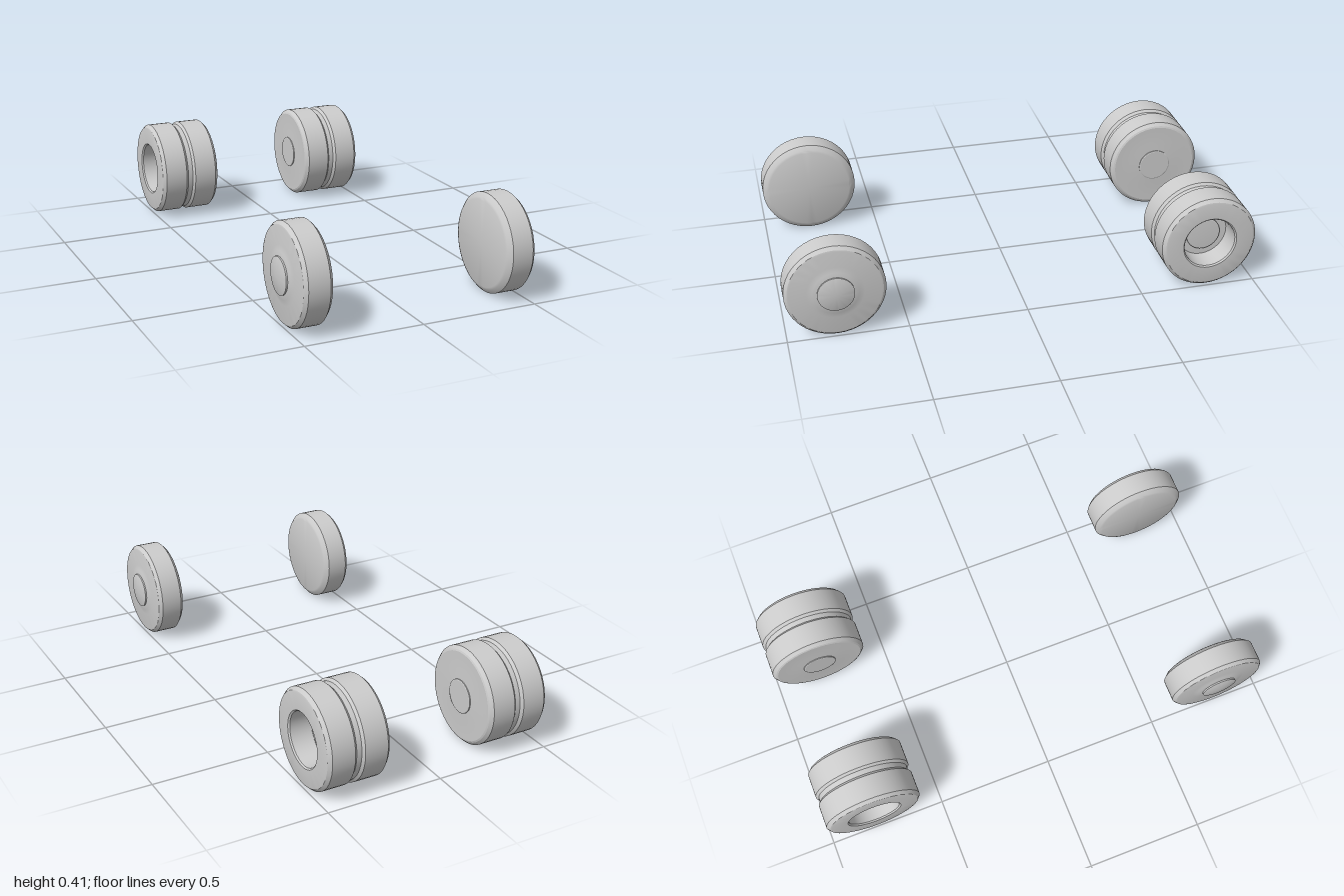
import * as THREE from 'three';
import { toCreasedNormals } from 'three/addons/utils/BufferGeometryUtils.js';

const RADIUS = 0.2075;
const AXLE_Z = 0.7925;

// Turned solid around the x axis; profile is [radius, x], from the inner face to the outer face.
function turned(profile, name, material) {
  const points = profile.map(([r, x]) => new THREE.Vector2(r, x));
  const geometry = new THREE.LatheGeometry(points, 48);
  geometry.rotateZ(-Math.PI / 2);
  const mesh = new THREE.Mesh(toCreasedNormals(geometry, 0.4), material);
  mesh.name = name;
  return mesh;
}

// Narrow wheel: flat inside, shallow raised boss outside
const frontTyre = [
  [0, 0.372], [0.18, 0.372], [0.19, 0.376], [RADIUS, 0.392],
  [RADIUS, 0.482], [0.195, 0.496], [0.188, 0.498],
  [0.118, 0.498], [0.095, 0.503], [0.075, 0.508], [0, 0.508],
];
const frontCap = [[0, 0.5], [0.076, 0.5], [0.076, 0.514], [0.07, 0.516], [0, 0.524]];

// Wide wheel: central groove, deep well outside
const rearTyre = [
  [0, 0.223], [0.075, 0.223], [0.115, 0.226], [0.188, 0.226], [0.195, 0.229],
  [RADIUS, 0.242], [RADIUS, 0.341], [0.197, 0.351], [0.197, 0.373],
  [RADIUS, 0.384], [RADIUS, 0.482], [0.195, 0.496], [0.188, 0.498],
  [0.118, 0.498], [0.112, 0.492], [0.108, 0.4], [0, 0.4],
];
const rearInnerCap = [[0, 0.217], [0.068, 0.217], [0.072, 0.219], [0.072, 0.228]];
const rearOuterCap = [[0.074, 0.395], [0.074, 0.414], [0.07, 0.417], [0, 0.421]];

export function createModel() {
  const model = new THREE.Group();
  model.name = 'wheelSet';
  const material = new THREE.MeshStandardMaterial({ color: 0xcccccc });

  for (const side of [1, -1]) {
    const label = side > 0 ? 'Left' : 'Right';

    const front = new THREE.Group();
    front.name = `front${label}Wheel`;
    front.add(
      turned(frontTyre, 'frontTyre', material),
      turned(frontCap, 'frontHubCap', material),
    );
    front.position.set(0, RADIUS, AXLE_Z);

    const rear = new THREE.Group();
    rear.name = `rear${label}Wheel`;
    rear.add(
      turned(rearTyre, 'rearTyre', material),
      turned(rearInnerCap, 'rearInnerCap', material),
      turned(rearOuterCap, 'rearHubCap', material),
    );
    rear.position.set(0, RADIUS, -AXLE_Z);

    // Turn the right-hand wheels so their outsides face away from the centre
    for (const wheel of [front, rear]) {
      if (side < 0) wheel.rotation.y = Math.PI;
      model.add(wheel);
    }
  }
  return model;
}
